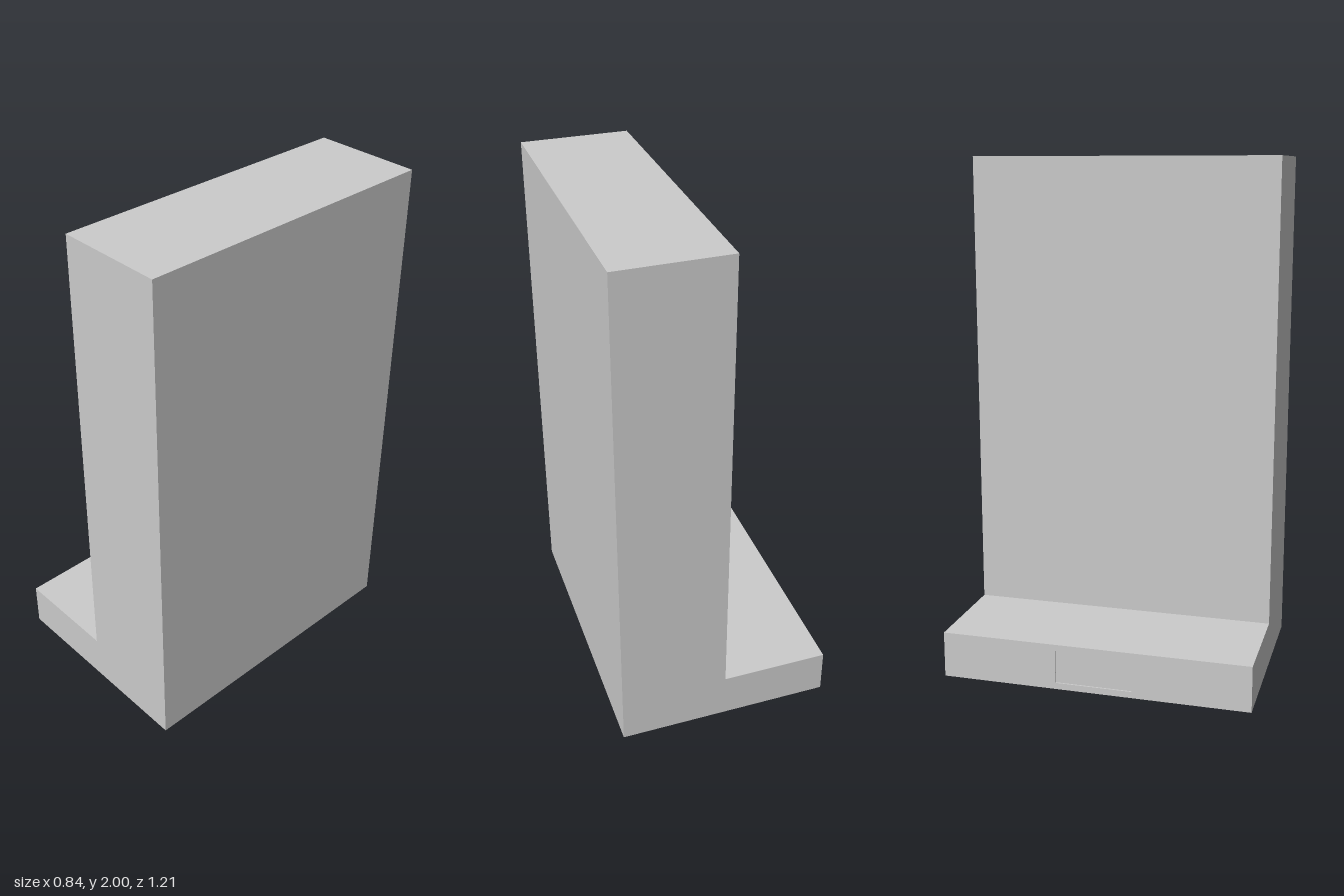
import * as THREE from 'three';

const HALF_X = 0.42, HALF_Z = 0.605, HEIGHT = 2, TOE = 0.185;
const PAD = 0.005, RECESS = 0.006;

export function createModel() {
  const group = new THREE.Group();
  const material = new THREE.MeshStandardMaterial({ color: 0xcccccc, flatShading: true });
  const add = (name, geometry) => {
    const mesh = new THREE.Mesh(geometry, material);
    mesh.name = name;
    group.add(mesh);
    return mesh;
  };

  // L-shaped body, ending where the thin toe facing begins
  const toeX = -HALF_X + RECESS;
  const profile = new THREE.Shape([
    [toeX, PAD], [HALF_X, PAD], [HALF_X, HEIGHT], [0, HEIGHT], [0, TOE], [toeX, TOE],
  ].map(([x, y]) => new THREE.Vector2(x, y)));
  const body = new THREE.ExtrudeGeometry(profile, { depth: 2 * HALF_Z, bevelEnabled: false });
  body.translate(0, 0, -HALF_Z);
  add('body', body);

  // Facing of the toe, with a shallow label recess
  const rectangle = (Type, w, y0, y1) => new Type([
    [-w, y0], [w, y0], [w, y1], [-w, y1],
  ].map(([x, y]) => new THREE.Vector2(x, y)));
  const facing = rectangle(THREE.Shape, HALF_Z, PAD, TOE);
  facing.holes.push(rectangle(THREE.Path, 0.15, 0.03, 0.16));
  const facingGeometry = new THREE.ExtrudeGeometry(facing, { depth: RECESS, bevelEnabled: false });
  facingGeometry.rotateY(-Math.PI / 2);
  facingGeometry.translate(toeX, 0, 0);
  add('toeFacing', facingGeometry);

  // Thin pad under the base, set in from the edges
  const inset = 0.03;
  add('basePad', new THREE.BoxGeometry(2 * (HALF_X - inset), PAD, 2 * (HALF_Z - inset)))
    .position.y = PAD / 2;

  return group;
}
